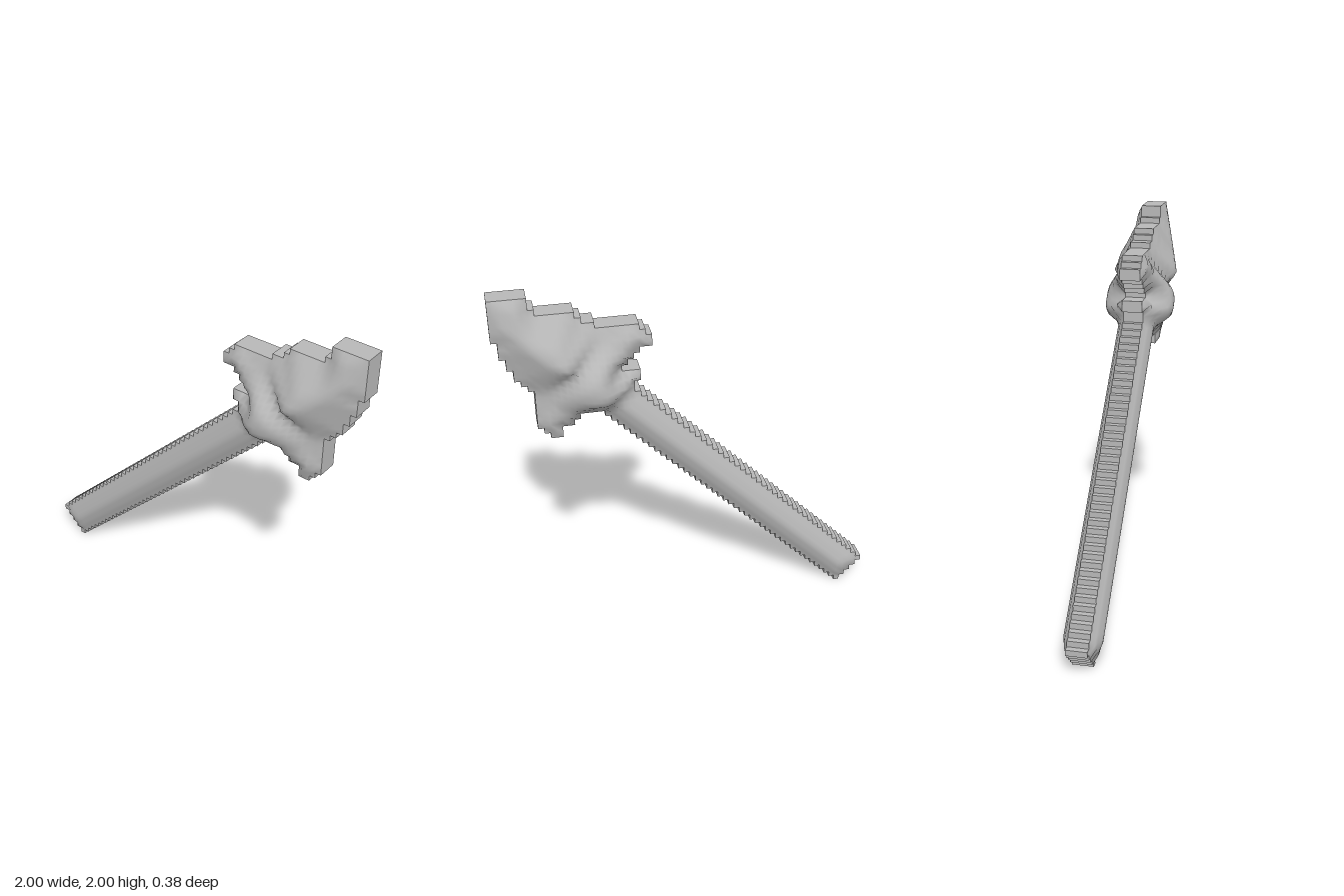
import * as THREE from 'three';

const N = 64, PX = 2 / N, RIM = 0.055;

// Outline of the blade, collar and barbs (x, y)
const HEAD = [
  [0.215, 1.70], [0.215, 1.745], [0.29, 1.805], [0.47, 1.805], [0.62, 1.905], [0.77, 1.91], [0.845, 2.01],
  [1.01, 2.01], [1.0, 1.83], [0.92, 1.61], [0.81, 1.47], [0.80, 1.28], [0.75, 1.25], [0.74, 1.21],
  [0.70, 1.21], [0.69, 1.25], [0.59, 1.34], [0.54, 1.345], [0.4, 1.4], [0.31, 1.47], [0.31, 1.5],
  [0.28, 1.5], [0.28, 1.56], [0.37, 1.56], [0.37, 1.6], [0.31, 1.62], [0.28, 1.68],
];

function insideHead(x, y) {
  let hit = false;
  HEAD.forEach(([ax, ay], k) => {
    const [bx, by] = HEAD[(k + 1) % HEAD.length];
    if ((ay > y) !== (by > y) && x < ax + ((y - ay) * (bx - ax)) / (by - ay)) hit = !hit;
  });
  return hit;
}

// True for each small square cell that belongs to the stepped silhouette
function filled(i, j) {
  if (i < 0 || j < 0 || i >= N || j >= N) return false;
  const x = -1 + (i + 0.5) * PX, y = (j + 0.5) * PX;
  const shaft = Math.abs(j - i) <= 4 && i + j >= 4 && x + y < 2;
  return shaft || insideHead(x, y);
}

// Half thickness at a point, d being its distance from the outline
function thickness(x, y, d) {
  const s = x + y, v = (y - x - 1) / Math.SQRT2;
  const shaft = 0.046 * Math.sin(Math.min(1, d / 0.1) * Math.PI / 2);
  if (s < 1.7) return RIM + shaft;
  // rounded collar, running out into the two barbs
  const dome = 0.137 * Math.exp(-((v / 0.2) ** 2)) * Math.exp(-(((s - 2.02) / 0.19) ** 4));
  const collar = Math.min(dome, 1.3 * d);
  // faceted blade with a ridge that falls towards the tip
  const base = THREE.MathUtils.smoothstep(s, 2.12, 2.32);
  const blade = base * Math.min(0.6 * d, 0.184 * (3 - s));
  return RIM + Math.max(s < 2.1 ? Math.min(shaft, d) : 0, collar, blade);
}

export function createModel() {
  const group = new THREE.Group();
  group.name = 'spear';
  const grey = new THREE.MeshStandardMaterial({ color: 0xb8b8b8 });
  grey.name = 'stone grey';

  const W = N + 1, id = (i, j) => j * W + i;
  const cells = [], rim = [];
  for (let j = 0; j <= N; j++) {
    for (let i = 0; i <= N; i++) {
      if (filled(i, j)) cells.push([i, j]);
      const n = filled(i, j) + filled(i - 1, j) + filled(i, j - 1) + filled(i - 1, j - 1);
      if (n > 0 && n < 4) rim.push([i, j]);
    }
  }

  // Heights at the cell corners
  const height = [];
  for (let j = 0; j <= N; j++) {
    for (let i = 0; i <= N; i++) {
      let d = Infinity;
      for (const [a, b] of rim) d = Math.min(d, Math.hypot(a - i, b - j) * PX);
      height.push(d === 0 ? RIM : thickness(-1 + i * PX, j * PX, d));
    }
  }

  const partOf = (i, j) => {
    const s = (i + j + 1) * PX - 1;
    if (s > 2.2) return 'blade';
    return s > 1.8 || Math.abs(j - i) > 4 ? 'collar' : 'shaft';
  };
  const parts = { shaft: [], collar: [], blade: [] };
  for (const c of cells) parts[partOf(...c)].push(c);

  // Front and back shells, with normals shared across the parts
  for (const side of [1, -1]) {
    const pos = [];
    height.forEach((h, k) => pos.push(-1 + (k % W) * PX, Math.floor(k / W) * PX, side * h));
    const quads = list => list.flatMap(([i, j]) => {
      const a = id(i, j), b = id(i + 1, j), c = id(i + 1, j + 1), d = id(i, j + 1);
      return side > 0 ? [a, b, c, a, c, d] : [a, c, b, a, d, c];
    });
    const whole = new THREE.BufferGeometry();
    whole.setAttribute('position', new THREE.Float32BufferAttribute(pos, 3));
    whole.setIndex(quads(cells));
    whole.computeVertexNormals();
    for (const name in parts) {
      whole.setIndex(quads(parts[name]));
      const mesh = new THREE.Mesh(whole.toNonIndexed(), grey);
      mesh.name = name + (side > 0 ? 'Front' : 'Back');
      group.add(mesh);
    }
  }

  // Stepped edge walls, one flat quad for each exposed cell side
  for (const name in parts) {
    const pos = [];
    for (const [i, j] of parts[name]) {
      const sides = [[0, -1, 0, 0, 1, 0], [1, 0, 1, 0, 1, 1], [0, 1, 1, 1, 0, 1], [-1, 0, 0, 1, 0, 0]];
      for (const [di, dj, ai, aj, bi, bj] of sides) {
        if (filled(i + di, j + dj)) continue;
        const at = (p, q, z) => [-1 + (i + p) * PX, (j + q) * PX, z];
        const a = at(ai, aj, -RIM), b = at(bi, bj, -RIM), c = at(bi, bj, RIM), d = at(ai, aj, RIM);
        pos.push(...a, ...b, ...c, ...a, ...c, ...d);
      }
    }
    const geo = new THREE.BufferGeometry();
    geo.setAttribute('position', new THREE.Float32BufferAttribute(pos, 3));
    geo.computeVertexNormals();
    const mesh = new THREE.Mesh(geo, grey);
    mesh.name = name + 'Edge';
    group.add(mesh);
  }
  return group;
}
